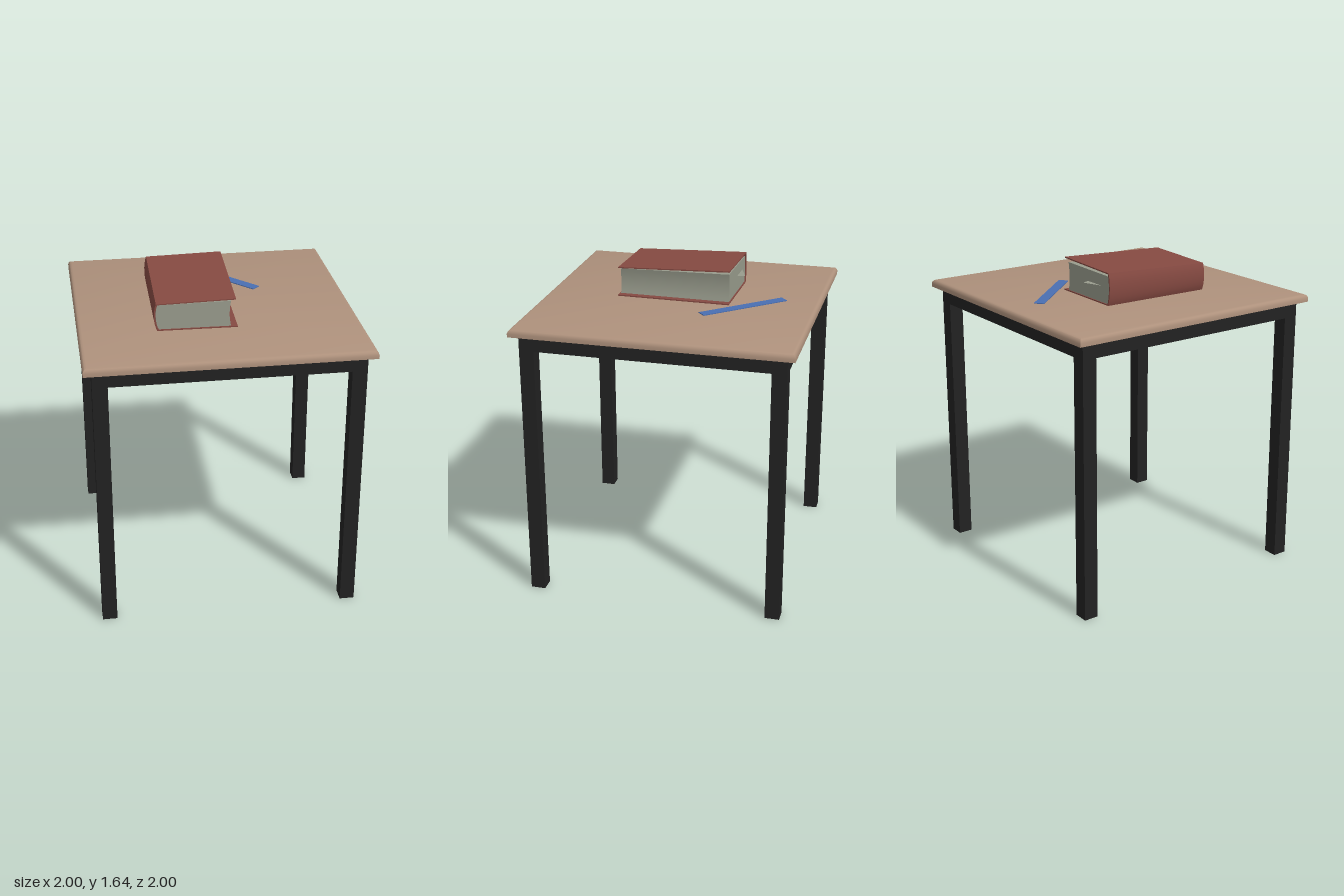
import * as THREE from 'three';
import { toCreasedNormals } from 'three/addons/utils/BufferGeometryUtils.js';

const mat = (name, color, side = THREE.FrontSide) => {
  const m = new THREE.MeshStandardMaterial({ color, side });
  m.name = name;
  return m;
};

export function createModel() {
  const wood = mat('wood', 0xae917c);
  const steel = mat('black steel', 0x222222);
  const red = mat('red cover', 0x864a42);
  const paper = mat('paper', 0x999c8d, THREE.DoubleSide);
  const blue = mat('blue', 0x4a6fb2);

  const model = new THREE.Group();
  model.name = 'deskWithBook';
  const add = (parent, name, geometry, material, x = 0, y = 0, z = 0) => {
    const mesh = new THREE.Mesh(geometry, material);
    mesh.name = name;
    mesh.position.set(x, y, z);
    parent.add(mesh);
    return mesh;
  };

  // Table, turned almost corner-on to the front
  const table = new THREE.Group();
  table.name = 'table';
  table.rotation.y = 0.05 - Math.PI / 4;
  model.add(table);

  // Square top with softened upper edge: a four-sided lathe
  const profile = [[0, 1.42], [1, 1.42], [1, 1.438], [0.995, 1.449], [0.986, 1.456], [0.97, 1.46], [0, 1.46]]
    .map(([r, y]) => new THREE.Vector2(r, y));
  const top = new THREE.LatheGeometry(profile, 4);
  top.rotateY(Math.PI / 4);
  add(table, 'tableTop', toCreasedNormals(top, 0.7), wood);

  // Square-tube legs and the rails between them
  const reach = 0.628, tube = 0.075;
  for (const sx of [-1, 1]) {
    for (const sz of [-1, 1]) {
      add(table, 'leg', new THREE.BoxGeometry(tube, 1.42, tube), steel, sx * reach, 0.71, sz * reach);
    }
    const span = 2 * reach - tube;
    add(table, 'sideRail', new THREE.BoxGeometry(tube, 0.08, span), steel, sx * reach, 1.38, 0);
    add(table, 'crossRail', new THREE.BoxGeometry(span, 0.08, tube), steel, 0, 1.38, sx * reach);
  }

  // Book: length along local x, spine towards local +z
  const book = new THREE.Group();
  book.name = 'book';
  book.position.set(-0.0575, 0, 0.111);
  book.rotation.y = -0.755;
  model.add(book);

  // Extrudes a cross-section along x and lifts its upper part at one corner
  const bookPart = (shape, halfLength, lift) => {
    const g = new THREE.ExtrudeGeometry(shape, { depth: 2 * halfLength, bevelEnabled: false, curveSegments: 8 });
    g.translate(0, 0, -halfLength);
    g.rotateY(Math.PI / 2);
    const p = g.attributes.position;
    for (let i = 0; i < p.count; i++) {
      const t = Math.max(0, (p.getY(i) - 1.467) / 0.153);
      const rise = -0.012 * p.getX(i) / 0.295 - 0.0055 * p.getZ(i) / 0.2;
      p.setY(i, p.getY(i) + lift * t * rise);
    }
    return toCreasedNormals(g, 0.6);
  };

  const cover = new THREE.Shape();
  cover.moveTo(0.21, 1.461);
  cover.lineTo(0.21, 1.467);
  cover.lineTo(-0.184, 1.467);
  cover.bezierCurveTo(-0.202, 1.5, -0.202, 1.58, -0.188, 1.614);
  cover.lineTo(0.2, 1.614);
  cover.lineTo(0.2, 1.62);
  cover.lineTo(-0.195, 1.62);
  cover.bezierCurveTo(-0.21, 1.58, -0.21, 1.5, -0.19, 1.461);
  add(book, 'bookCover', bookPart(cover, 0.295, 1), red);

  const pages = new THREE.Shape();
  pages.moveTo(-0.182, 1.467);
  pages.bezierCurveTo(-0.2, 1.5, -0.2, 1.58, -0.187, 1.604);
  pages.lineTo(0.177, 1.604);
  pages.quadraticCurveTo(0.162, 1.535, 0.177, 1.467);
  add(book, 'pages', bookPart(pages, 0.289, 0.6), paper);

  // Corner of a loose slip poking out of the pages
  const slip = new THREE.Shape([[-0.28, 0.15], [-0.329, 0.02], [-0.28, 0]].map(([x, z]) => new THREE.Vector2(x, z)));
  const slipGeometry = new THREE.ShapeGeometry(slip);
  slipGeometry.rotateX(Math.PI / 2);
  add(book, 'paperSlip', slipGeometry, paper, 0, 1.55, 0);

  // Thin blue strip lying on the table
  add(model, 'blueStrip', new THREE.BoxGeometry(0.49, 0.004, 0.052), blue, -0.185, 1.462, -0.298);

  return model;
}
